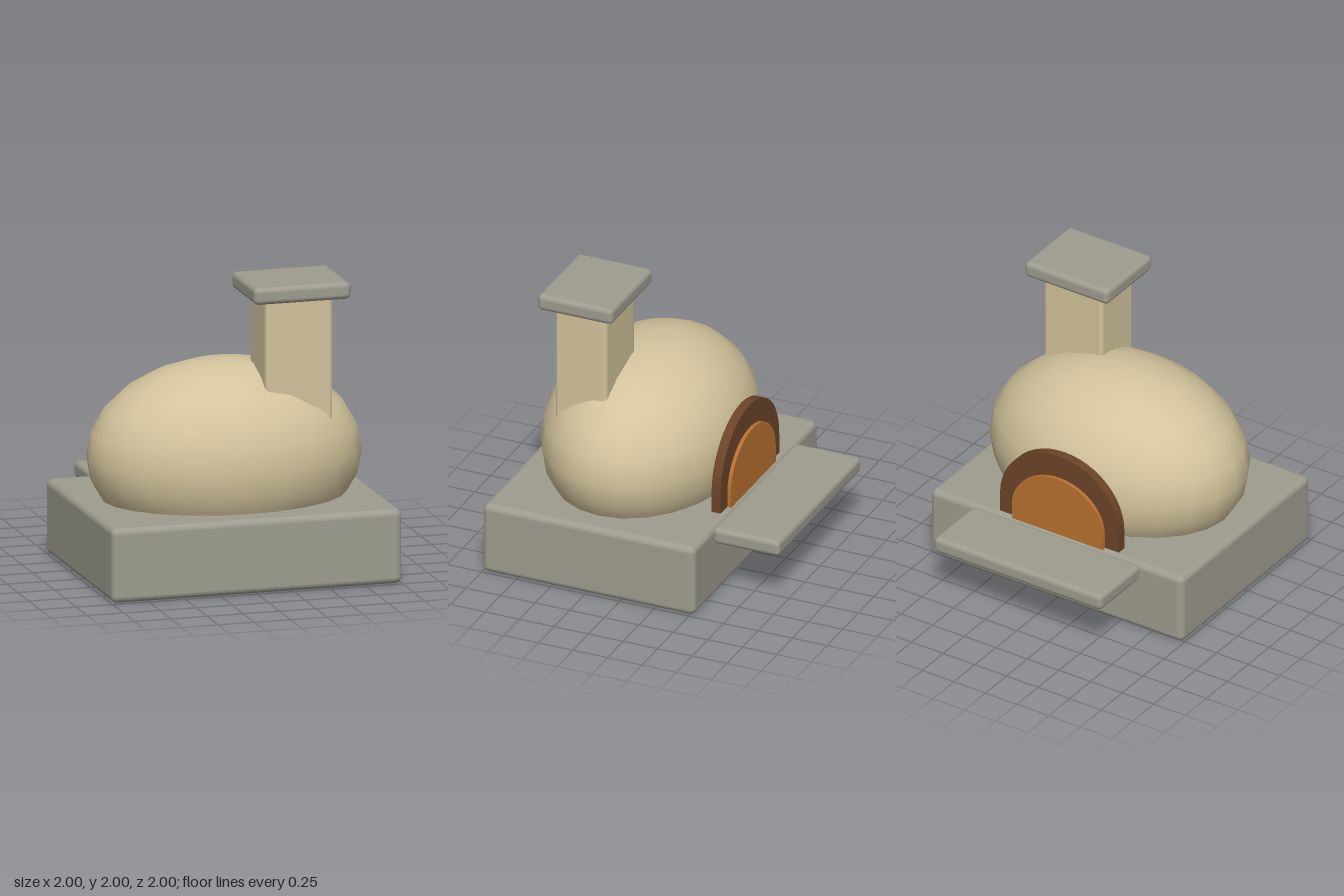
import * as THREE from 'three';
import { RoundedBoxGeometry } from 'three/addons/geometries/RoundedBoxGeometry.js';

const material = (name, color) => {
  const m = new THREE.MeshStandardMaterial({ color });
  m.name = name;
  return m;
};

export function createModel() {
  const group = new THREE.Group();
  const stone = material('greyStone', 0x9e9c8e);
  const clay = material('creamClay', 0xd2c39c);
  const brick = material('brownBrick', 0x6b4429);
  const wood = material('orangeDoor', 0xb8712f);

  const add = (name, geometry, mat) => {
    const mesh = new THREE.Mesh(geometry, mat);
    mesh.name = name;
    group.add(mesh);
    return mesh;
  };

  // Rounded block given by its extents on each axis
  const block = (name, mat, [x0, x1], [y0, y1], [z0, z1], radius) => {
    const g = new RoundedBoxGeometry(x1 - x0, y1 - y0, z1 - z0, 3, radius);
    add(name, g, mat).position.set((x0 + x1) / 2, (y0 + y1) / 2, (z0 + z1) / 2);
  };

  // Upright arched slab: straight legs up to the spring line, then a half ellipse
  const arch = (name, mat, halfWidth, bottom, spring, top, z0, z1) => {
    const s = new THREE.Shape();
    s.moveTo(-halfWidth, bottom);
    s.lineTo(halfWidth, bottom);
    s.lineTo(halfWidth, spring);
    s.absellipse(0, spring, halfWidth, top - spring, 0, Math.PI, false);
    s.closePath();
    const g = new THREE.ExtrudeGeometry(s, { depth: z1 - z0, bevelEnabled: false, curveSegments: 12 });
    add(name, g, mat).position.z = z0;
  };

  // Plinth and the serving ledge behind it
  block('base', stone, [-1, 1], [0, 0.505], [-0.535, 1], 0.045);
  block('ledge', stone, [-0.665, 0.665], [0.38, 0.495], [-1, -0.515], 0.035);

  // Egg-shaped oven dome
  const dome = add('dome', new THREE.SphereGeometry(1, 24, 12), clay);
  dome.scale.set(0.93, 0.64, 0.68);
  dome.position.set(0, 0.79, 0.23);

  // Chimney and its cap
  block('chimney', clay, [0.165, 0.63], [0.85, 1.91], [0.265, 0.64], 0.03);
  block('chimneyCap', stone, [0.065, 0.73], [1.885, 2], [0.18, 0.725], 0.035);

  // Arched oven mouth and door on the back
  arch('mouthSurround', brick, 0.47, 0.45, 0.65, 1.09, -0.49, -0.425);
  arch('door', wood, 0.36, 0.45, 0.61, 0.925, -0.515, -0.48);

  return group;
}
